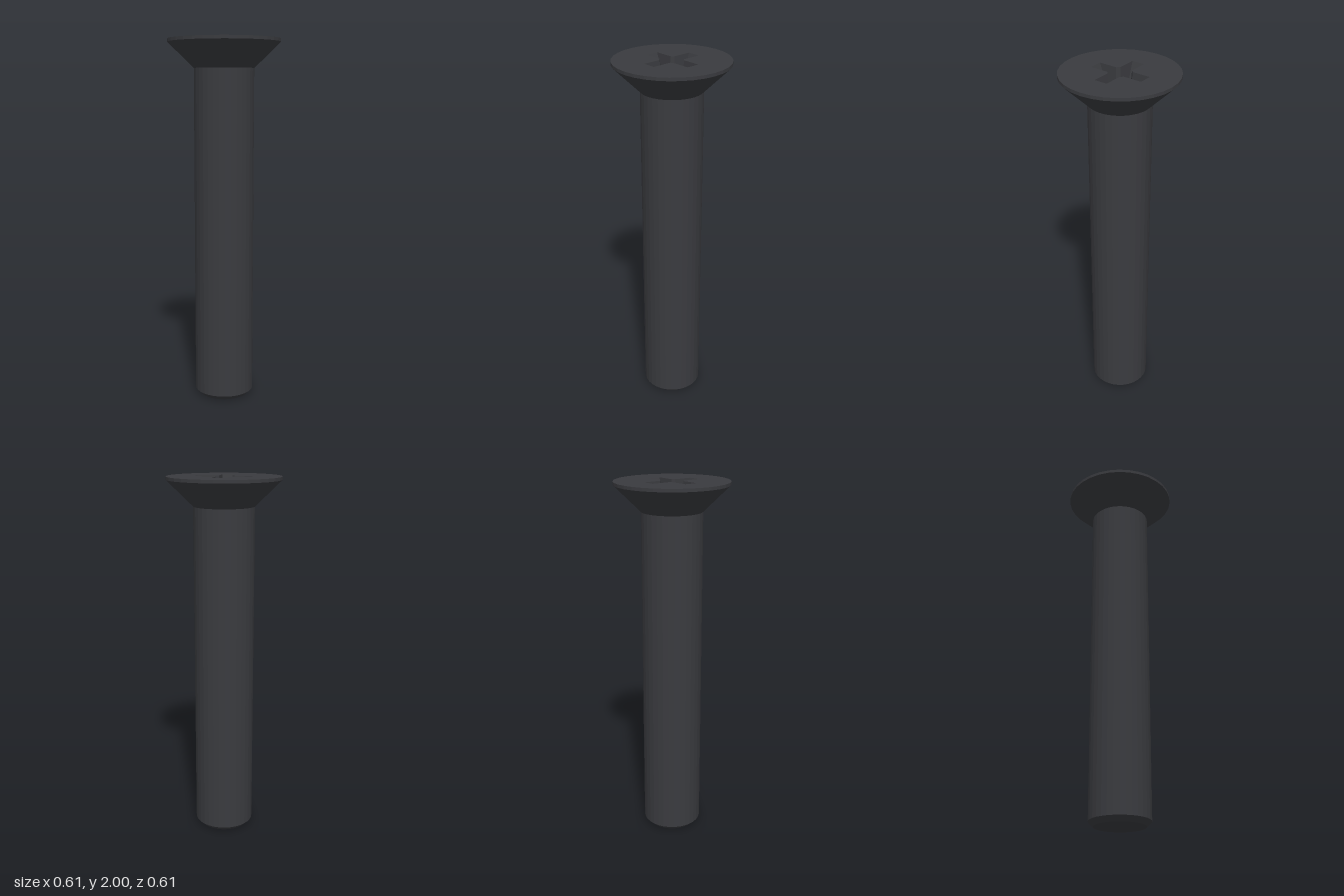
import * as THREE from 'three';

const SEGMENTS = 32;
const HEAD_R = 0.306;
const TOP = 2, FLOOR = 1.86, TIP = 1.84;

// Cross outline with chamfered inner corners, counter-clockwise
function crossOutline(length, halfWidth, corner) {
  const arm = [[length, -halfWidth], [length, halfWidth], [corner, halfWidth], [halfWidth, corner]];
  const points = [];
  for (let i = 0; i < 4; i++) {
    for (const [x, y] of arm) {
      points.push(new THREE.Vector2(x, y).rotateAround(new THREE.Vector2(), i * Math.PI / 2));
    }
  }
  return points;
}

function circleOutline(radius) {
  return Array.from({ length: SEGMENTS }, (_, i) => {
    const a = i / SEGMENTS * Math.PI * 2;
    return new THREE.Vector2(radius * Math.cos(a), radius * Math.sin(a));
  });
}

// Flat horizontal face with a hole, facing up
function plate(outline, hole, y) {
  const shape = new THREE.Shape(outline);
  shape.holes.push(new THREE.Path(hole));
  return new THREE.ShapeGeometry(shape).rotateX(-Math.PI / 2).translate(0, y, 0);
}

// Inward-facing tapered walls between two matching outlines
function recessWalls(upper, lower) {
  const positions = [];
  const add = (p, y) => positions.push(p.x, y, -p.y);
  upper.forEach((pt, i) => {
    const j = (i + 1) % upper.length;
    const qt = upper[j], pb = lower[i], qb = lower[j];
    add(qb, FLOOR); add(pb, FLOOR); add(pt, TOP);
    add(qb, FLOOR); add(pt, TOP); add(qt, TOP);
  });
  const geometry = new THREE.BufferGeometry();
  geometry.setAttribute('position', new THREE.Float32BufferAttribute(positions, 3));
  geometry.computeVertexNormals();
  return geometry;
}

function lathe(profile) {
  return new THREE.LatheGeometry(profile.map(([r, y]) => new THREE.Vector2(r, y)), SEGMENTS);
}

export function createModel() {
  const group = new THREE.Group();
  const material = new THREE.MeshStandardMaterial({ color: 0x3a3b3f, flatShading: true });
  const add = (name, geometry) => {
    const mesh = new THREE.Mesh(geometry, material);
    mesh.name = name;
    group.add(mesh);
  };

  // Shaft with chamfered end, and countersunk head with a thin rim
  add('shaft', lathe([[0, 0], [0.137, 0], [0.164, 0.027], [0.164, 1.845]]));
  add('headCone', lathe([[0.164, 1.845], [HEAD_R, 1.983], [HEAD_R, TOP]]));

  // Top face and tapered cross recess with a conical centre
  const upper = crossOutline(0.152, 0.036, 0.05);
  const lower = crossOutline(0.088, 0.024, 0.046);
  const centreR = 0.048;
  add('headTop', plate(circleOutline(HEAD_R), upper, TOP));
  add('recessWalls', recessWalls(upper, lower));
  add('recessFloor', plate(lower, circleOutline(centreR), FLOOR));
  add('recessCentre', lathe([[centreR, FLOOR], [0, TIP]]));

  return group;
}
